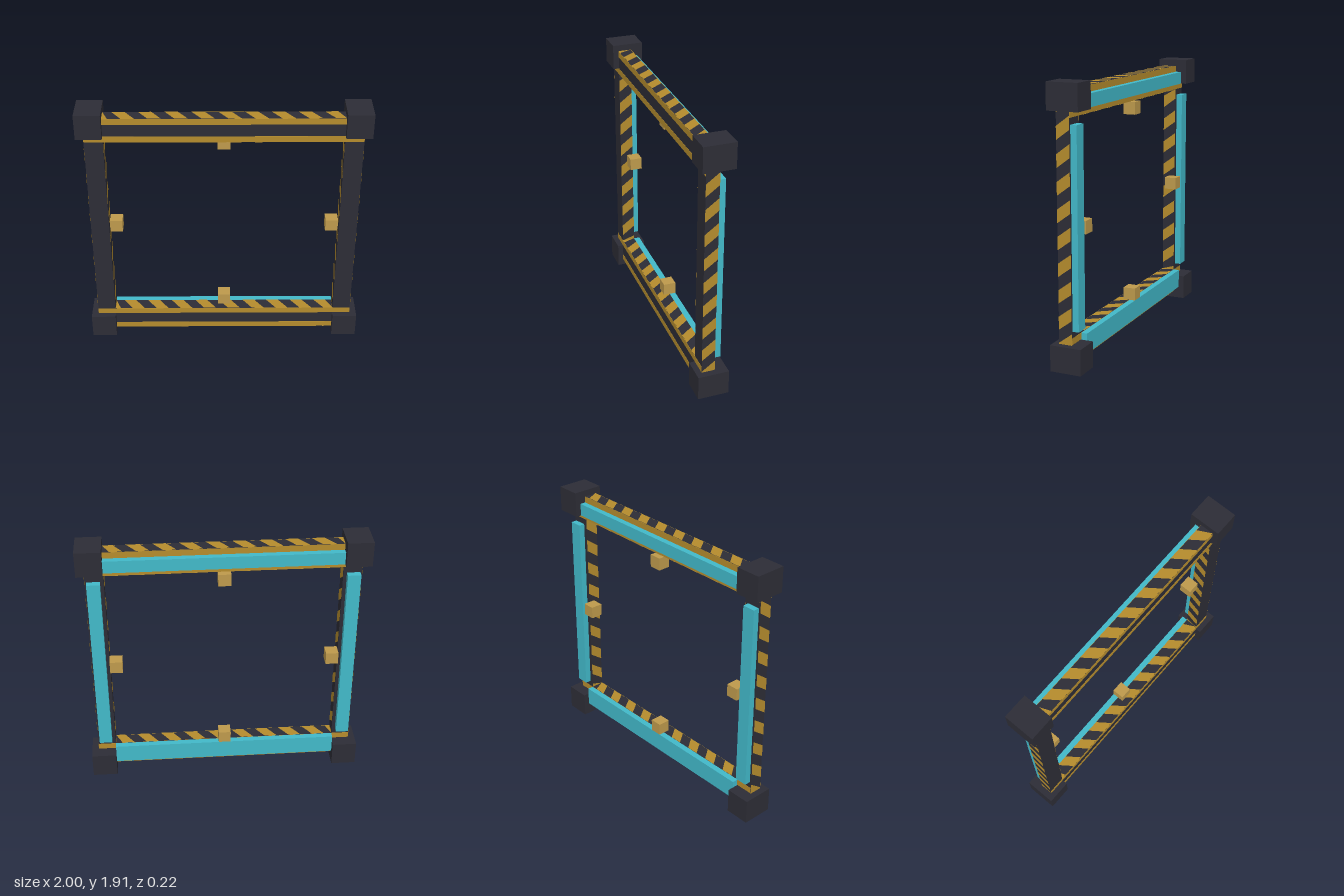
import * as THREE from 'three';

const dark = new THREE.MeshStandardMaterial({ color: 0x2d2d36 });
dark.name = 'charcoal';
const yellow = new THREE.MeshStandardMaterial({ color: 0xb58c2d, side: THREE.DoubleSide });
yellow.name = 'hazardYellow';
const cyan = new THREE.MeshStandardMaterial({ color: 0x42b9c9 });
cyan.name = 'cyan';
const tan = new THREE.MeshStandardMaterial({ color: 0xbe9a4c });
tan.name = 'paleYellow';

// Beam depth range
const ZF = 0.07, ZB = -0.025, DEPTH = ZF - ZB;

// Box given by its minimum and maximum corners
function box(parent, name, mat, x0, x1, y0, y1, z0, z1) {
  const mesh = new THREE.Mesh(new THREE.BoxGeometry(x1 - x0, y1 - y0, z1 - z0), mat);
  mesh.position.set((x0 + x1) / 2, (y0 + y1) / 2, (z0 + z1) / 2);
  mesh.name = name;
  parent.add(mesh);
}

// Slanted stripes along a beam face: u runs along the beam, v from its front edge to its back edge
function stripes(from, to, first, skew) {
  const shapes = [];
  const clip = u => Math.min(to, Math.max(from, u));
  for (let u = first; u < to; u += 0.18) {
    const a = clip(u), b = clip(u + 0.09), c = clip(u + 0.09 + skew), d = clip(u + skew);
    if (b - a + c - d < 0.01) continue;
    shapes.push(new THREE.Shape([[a, 0], [b, 0], [c, DEPTH], [d, DEPTH]].map(p => new THREE.Vector2(...p))));
  }
  return new THREE.ShapeGeometry(shapes);
}

function addStripes(parent, geometry, along, x, y) {
  const back = new THREE.Vector3(0, 0, -1);
  const mesh = new THREE.Mesh(geometry, yellow);
  mesh.quaternion.setFromRotationMatrix(
    new THREE.Matrix4().makeBasis(along, back, along.clone().cross(back)));
  mesh.position.set(x, y, ZF);
  mesh.name = 'hazardStripes';
  parent.add(mesh);
}

export function createModel() {
  const model = new THREE.Group();
  model.name = 'squareFrame';
  const X = new THREE.Vector3(1, 0, 0), Y = new THREE.Vector3(0, 1, 0);

  // Horizontal beams with yellow borders, striped edges and a cyan back panel
  for (const [name, y0, y1, p0, p1] of [
    ['bottomBeam', 0.05, 0.23, 0.09, 0.23],
    ['topBeam', 1.685, 1.865, 1.73, 1.82],
  ]) {
    const beam = new THREE.Group();
    beam.name = name;
    box(beam, 'beamCore', dark, -0.95, 0.95, y0, y1, ZB, ZF);
    for (const z of [ZF, ZB - 0.002]) {
      box(beam, 'lowerBorder', yellow, -0.95, 0.95, y0, y0 + 0.045, z, z + 0.002);
      box(beam, 'upperBorder', yellow, -0.95, 0.95, y1 - 0.045, y1, z, z + 0.002);
    }
    const geometry = stripes(-0.82, 0.82, -0.87, -0.07);
    addStripes(beam, geometry, X, 0, y1 + 0.002);
    addStripes(beam, geometry, X, 0, y0 - 0.002);
    box(beam, 'backPanel', cyan, -0.82, 0.82, p0, p1, -0.07, ZB);
    model.add(beam);
  }

  // Posts, mirrored left and right
  for (const s of [-1, 1]) {
    const post = new THREE.Group();
    post.name = s > 0 ? 'leftPost' : 'rightPost';
    const span = (a, b) => (s > 0 ? [a, b] : [-b, -a]);
    box(post, 'postCore', dark, ...span(0.82, 0.95), 0.23, 1.685, ZB, ZF);
    addStripes(post, stripes(0.18, 1.73, 0.1, 0.07), Y, s * 0.952, 0);
    addStripes(post, stripes(0.23, 1.685, 0.1, 0.07), Y, s * 0.818, 0);
    box(post, 'backPanel', cyan, ...span(0.845, 0.938), 0.275, 1.64, -0.07, ZB);
    box(post, 'sideBlock', tan, ...span(0.73, 0.82), 0.91, 1.0, -0.07, 0.02);
    model.add(post);

    // Corner blocks
    for (const y of [0, 1.73]) {
      box(model, 'cornerBlock', dark, ...span(0.82, 1), y, y + 0.182, -0.112, 0.112);
    }
  }

  // Small blocks at the middle of the horizontal beams
  box(model, 'lowerBlock', tan, -0.045, 0.045, 0.23, 0.32, -0.07, 0.02);
  box(model, 'upperBlock', tan, -0.045, 0.045, 1.595, 1.685, -0.07, 0.02);
  return model;
}
